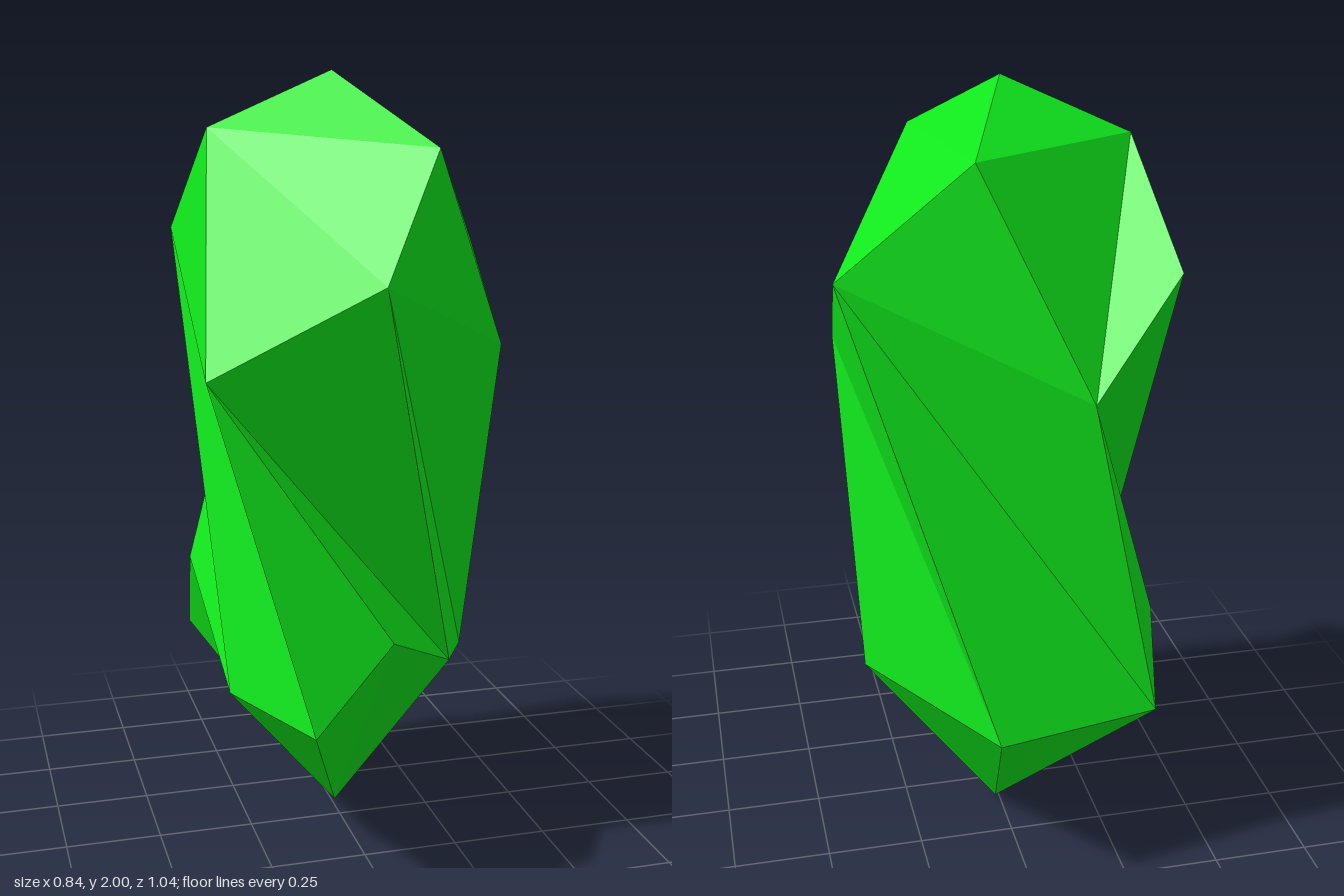
import * as THREE from 'three';

// Corners of the stone, from the top tip down to the bottom tip
const corners = {
  top: [-0.01, 2, -0.04],
  // shoulder
  A: [-0.32, 1.86, -0.09], B: [0.11, 1.86, -0.33], C: [0.15, 1.82, 0.34],
  // upper ring
  D: [-0.42, 1.3, 0.375], E: [0, 1.51, 0.42], G: [0.39, 1.32, 0.14],
  F: [0.42, 1.56, -0.19], H: [-0.14, 1.32, -0.475], I: [-0.37, 1.59, -0.375],
  // lower ring
  K: [-0.2, 0.46, 0.52], J: [0, 0.67, 0.49], L: [0.26, 0.48, 0.15],
  M: [0.36, 0.45, -0.05], Y: [0.225, 0.453, -0.285], N: [0.09, 0.455, -0.52],
  O: [-0.335, 0.45, -0.43], Z: [-0.35, 0.68, -0.31], P: [-0.335, 0.455, 0.165],
  bottom: [0.01, 0, -0.09],
};

// Twelve five-sided facets, each fanned out from its first corner
const facets = [
  // crown
  'A D E C top', 'C G F B top', 'A top B H I',
  // sides
  'E L M G C', 'G M Y N F', 'F N O H B',
  'H O Z P I', 'I P K D A', 'D K J L E',
  // underside
  'bottom Y M L J', 'bottom Z O N Y', 'bottom J K P Z',
];

function facetedGeometry() {
  const positions = [];
  for (const facet of facets) {
    const ring = facet.split(' ').map((name) => corners[name]);
    for (let i = 1; i < ring.length - 1; i++) {
      positions.push(...ring[0], ...ring[i], ...ring[i + 1]);
    }
  }
  const geometry = new THREE.BufferGeometry();
  geometry.setAttribute('position', new THREE.Float32BufferAttribute(positions, 3));
  geometry.computeVertexNormals();
  return geometry;
}

export function createModel() {
  const group = new THREE.Group();
  group.name = 'crystal';
  const material = new THREE.MeshStandardMaterial({ color: 0x10e81c, flatShading: true });
  const stone = new THREE.Mesh(facetedGeometry(), material);
  stone.name = 'crystalStone';
  group.add(stone);
  return group;
}
